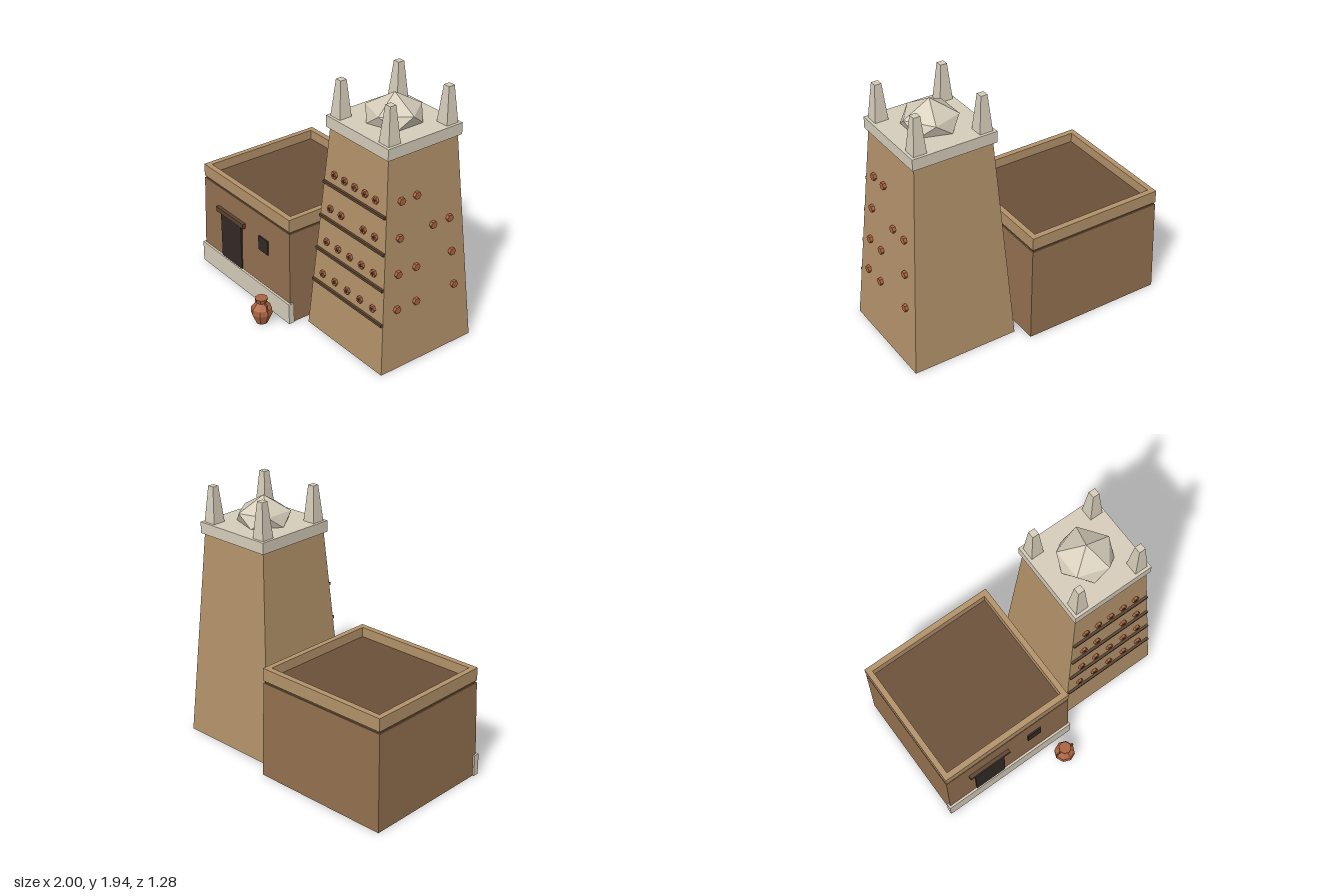
import * as THREE from 'three';
import { ConvexGeometry } from 'three/addons/geometries/ConvexGeometry.js';

const mat = (color, side = THREE.FrontSide) =>
  new THREE.MeshStandardMaterial({ color, flatShading: true, side });
const M = {
  mud: mat(0xb3926a), wall: mat(0x93704f), stone: mat(0xd6cdba), roof: mat(0x6b5038),
  wood: mat(0x5c4430), dark: mat(0x332a25), clay: mat(0xac6440), pot: mat(0xac6440, THREE.DoubleSide),
};

function add(parent, name, geometry, material, x = 0, y = 0, z = 0) {
  const mesh = new THREE.Mesh(geometry, material);
  mesh.name = name;
  mesh.position.set(x, y, z);
  parent.add(mesh);
  return mesh;
}

// Box given by its limits
function block(parent, name, material, [x0, x1], [y0, y1], [z0, z1]) {
  return add(parent, name, new THREE.BoxGeometry(x1 - x0, y1 - y0, z1 - z0), material,
    (x0 + x1) / 2, (y0 + y1) / 2, (z0 + z1) / 2);
}

// Box standing on y = 0 whose top is narrower than its base
function frustum(w, d, h, topW, topD) {
  const g = new THREE.BoxGeometry(w, h, d).translate(0, h / 2, 0);
  const p = g.attributes.position;
  for (let i = 0; i < p.count; i++) {
    if (p.getY(i) > h / 2) p.setXYZ(i, p.getX(i) * topW / w, h, p.getZ(i) * topD / d);
  }
  g.computeVertexNormals();
  return g;
}

function createHouse() {
  const house = new THREE.Group();
  house.name = 'house';
  const cx = -0.437, cz = -0.114;
  add(house, 'houseBody', frustum(1.105, 1.05, 0.735, 1.075, 1.02), M.wall, cx, 0, cz);
  block(house, 'plinth', M.stone, [-1, 0.123], [0, 0.165], [0.38, 0.425]);
  block(house, 'eaveBand', M.wood, [-0.967, 0.093], [0.73, 0.755], [-0.617, 0.39]);
  block(house, 'roofFloor', M.roof, [-0.95, 0.07], [0.745, 0.775], [-0.6, 0.37]);

  // Parapet ring
  const ring = new THREE.Shape([[-0.537, -0.511], [0.537, -0.511], [0.537, 0.511], [-0.537, 0.511]]
    .map(([x, y]) => new THREE.Vector2(x, y)));
  ring.holes.push(new THREE.Path([[-0.495, -0.467], [-0.495, 0.467], [0.495, 0.467], [0.495, -0.467]]
    .map(([x, y]) => new THREE.Vector2(x, y))));
  const parapet = new THREE.ExtrudeGeometry(ring, { depth: 0.097, bevelEnabled: false });
  add(house, 'parapet', parapet.rotateX(-Math.PI / 2), M.mud, cx, 0.752, cz);

  // Openings
  block(house, 'door', M.dark, [-0.745, -0.485], [0.16, 0.535], [0.37, 0.415]);
  block(house, 'lintel', M.wood, [-0.79, -0.44], [0.535, 0.573], [0.37, 0.426]);
  block(house, 'window', M.dark, [-0.265, -0.15], [0.445, 0.56], [0.37, 0.411]);
  return house;
}

function createTower() {
  const tower = new THREE.Group();
  tower.name = 'tower';
  tower.position.set(0.59, 0, -0.117);
  const H = 1.59;
  const half = y => 0.41 - 0.11 * y / H;
  add(tower, 'towerBody', frustum(0.82, 0.82, H, 0.6, 0.6), M.mud);

  // Ledges across the front
  for (const y of [0.385, 0.648, 0.912, 1.178]) {
    const h = half(y);
    block(tower, 'ledge', M.wood, [-h + 0.004, h - 0.004], [y - 0.01, y + 0.01], [h - 0.03, h + 0.017]);
  }

  // Hexagonal beam ends: front columns by step, right side by z
  const beam = new THREE.CylinderGeometry(0.028, 0.028, 0.06, 6).rotateX(Math.PI / 2).rotateZ(Math.PI / 2);
  const core = new THREE.CylinderGeometry(0.014, 0.014, 0.06, 6).rotateX(Math.PI / 2).rotateZ(Math.PI / 2);
  const rows = [
    { y: 0.47, step: 0.137, front: [-2, -1, 0, 1, 2], side: [0.263, 0.091, -0.257] },
    { y: 0.735, step: 0.127, front: [-2, -1, 0, 1, 2], side: [0.245, 0.087, -0.237] },
    { y: 1.0, step: 0.118, front: [-2, -1, 1, 2], side: [0.225, -0.068, -0.216] },
    { y: 1.265, step: 0.108, front: [-2, -1, 0, 1, 2], side: [0.204, 0.071] },
  ];
  for (const { y, step, front, side } of rows) {
    const h = half(y);
    for (const i of front) {
      add(tower, 'frontBeam', beam, M.clay, i * step, y, h - 0.013);
      add(tower, 'beamCore', core, M.dark, i * step, y, h - 0.011);
    }
    for (const z of side) add(tower, 'sideBeam', beam, M.clay, h - 0.008, y, z).rotation.y = Math.PI / 2;
  }

  // Crown: slab, corner pinnacles, faceted dome
  add(tower, 'crownSlab', new THREE.BoxGeometry(0.64, 0.085, 0.64), M.stone, 0, 1.63, 0);
  const pinnacle = frustum(0.1, 0.1, 0.268, 0.05, 0.05);
  for (const x of [-1, 1]) for (const z of [-1, 1]) {
    add(tower, 'pinnacle', pinnacle, M.stone, x * 0.249, 1.672, z * 0.249);
  }
  const points = [new THREE.Vector3(0, 0.2, 0)];
  for (let i = 0; i < 10; i++) {
    const a = i * Math.PI / 5;
    points.push(new THREE.Vector3(0.197 * Math.cos(a), i % 2 ? 0 : 0.09, 0.197 * Math.sin(a)));
  }
  add(tower, 'dome', new ConvexGeometry(points), M.stone, 0, 1.671, 0);
  return tower;
}

function createJar() {
  const jar = new THREE.Group();
  jar.name = 'jar';
  jar.position.set(-0.03, 0, 0.56);
  const profile = [[0, 0], [0.045, 0], [0.08, 0.085], [0.076, 0.125], [0.038, 0.17], [0.048, 0.205], [0, 0.205]];
  add(jar, 'jarBody', new THREE.LatheGeometry(profile.map(p => new THREE.Vector2(...p)), 8), M.pot);
  for (const s of [-1, 1]) {
    const curve = new THREE.CatmullRomCurve3([[0.04, 0.168], [0.062, 0.172], [0.072, 0.15], [0.072, 0.11]]
      .map(([x, y]) => new THREE.Vector3(s * x, y, 0)));
    add(jar, 'jarHandle', new THREE.TubeGeometry(curve, 6, 0.007, 5), M.clay);
  }
  return jar;
}

export function createModel() {
  const model = new THREE.Group();
  model.name = 'mudBrickCompound';
  model.add(createHouse(), createTower(), createJar());
  return model;
}
